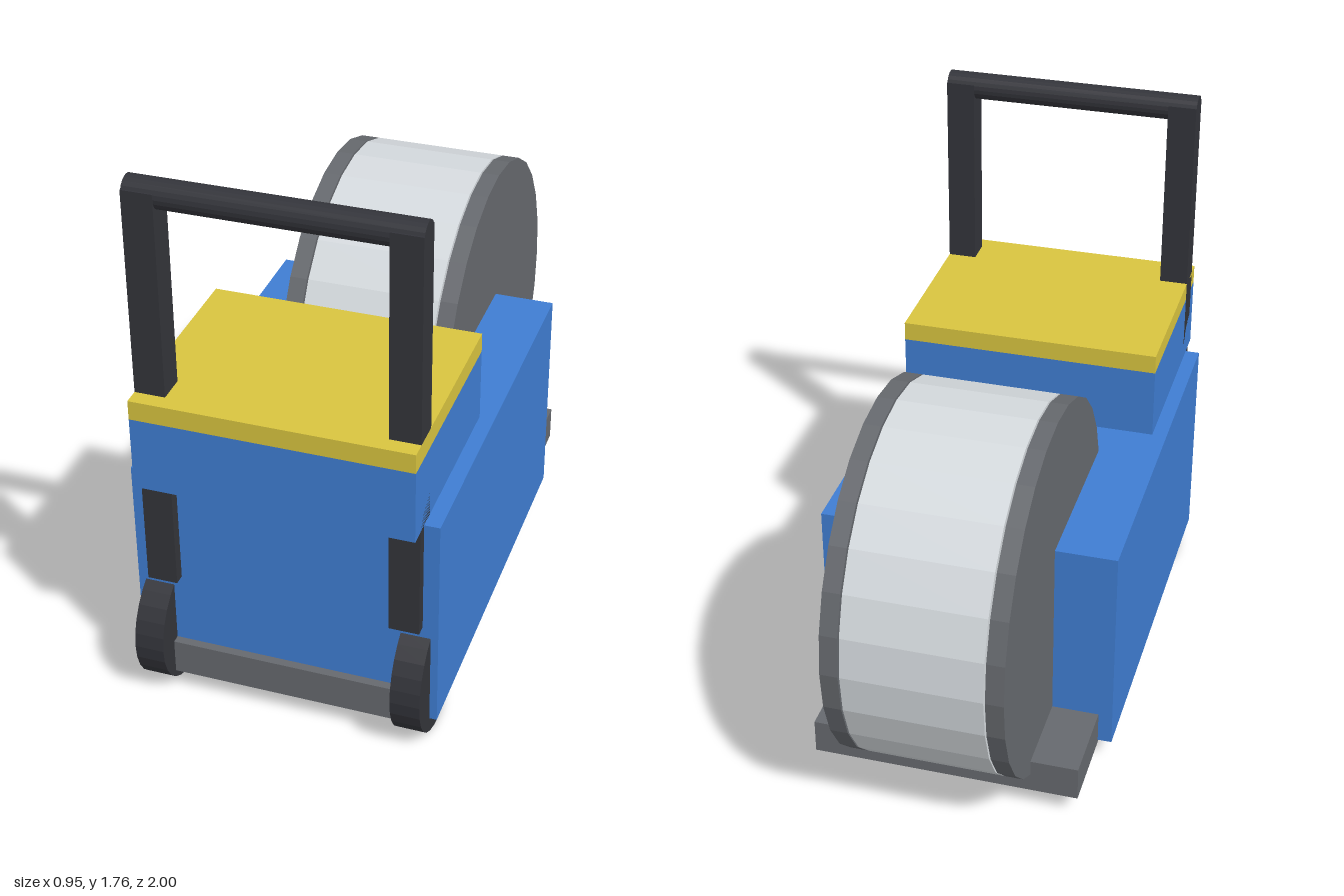
import * as THREE from 'three';

const mat = (color) => new THREE.MeshStandardMaterial({ color, flatShading: true });

export function createModel() {
  const group = new THREE.Group();
  const blue = mat(0x3f7dd2), yellow = mat(0xd8c43f), dark = mat(0x33343a);
  const grey = mat(0x66696e), light = mat(0xd5dade);

  const add = (name, geometry, material) => {
    const mesh = new THREE.Mesh(geometry, material);
    mesh.name = name;
    group.add(mesh);
    return mesh;
  };
  // Box given by its limits on each axis
  const box = (name, material, [x0, x1], [y0, y1], [z0, z1]) =>
    add(name, new THREE.BoxGeometry(x1 - x0, y1 - y0, z1 - z0), material)
      .position.set((x0 + x1) / 2, (y0 + y1) / 2, (z0 + z1) / 2);
  // Cylinder lying along x between x0 and x1
  const roller = (name, material, r, [x0, x1], y, z, sides) =>
    add(name, new THREE.CylinderGeometry(r, r, x1 - x0, sides).rotateZ(Math.PI / 2), material)
      .position.set((x0 + x1) / 2, y, z);

  // Chassis, body and control box with lid
  box('basePlate', grey, [-0.43, 0.43], [0.065, 0.18], [-0.69, 0.92]);
  box('body', blue, [-0.475, 0.475], [0.075, 0.79], [-0.415, 0.893]);
  box('controlBox', blue, [-0.427, 0.427], [0.79, 1.025], [0.315, 0.978]);
  box('lid', yellow, [-0.427, 0.427], [1.025, 1.087], [0.315, 0.978]);

  // Large rear drum
  roller('drum', light, 0.595, [-0.217, 0.217], 0.647, -0.405, 28);
  // Crossbar of the handle
  roller('handleBar', dark, 0.044, [-0.427, 0.427], 1.716, 0.883, 20);

  // Mirrored parts
  for (const s of [-1, 1]) {
    const side = s > 0 ? 'left' : 'right';
    const span = (a, b) => (s > 0 ? [a, b] : [-b, -a]);
    roller(side + 'DrumFlange', grey, 0.595, span(0.222, 0.278), 0.647, -0.405, 28);
    roller(side + 'Wheel', dark, 0.205, span(0.36, 0.452), 0.203, 0.795, 28);
    box(side + 'HandlePost', dark, span(0.333, 0.427), [0.42, 1.733], [0.838, 0.928]);
  }
  return group;
}
